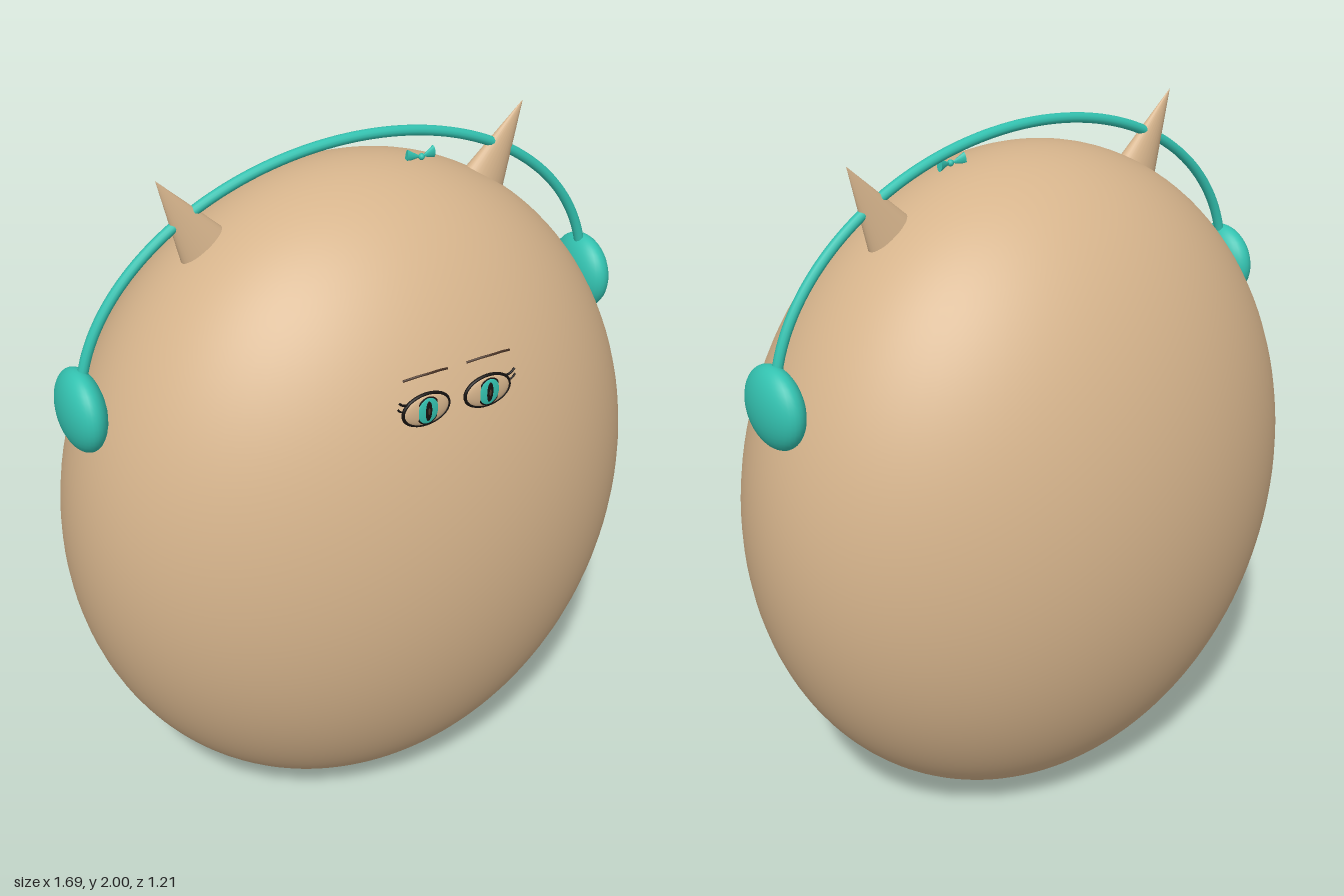
import * as THREE from 'three';

const material = (name, color) => {
  const m = new THREE.MeshStandardMaterial({ color });
  m.name = name;
  return m;
};

export function createModel() {
  const model = new THREE.Group();
  model.name = 'hornedEgg';
  const tan = material('tan', 0xd6b48c);
  const teal = material('teal', 0x33c2b0);
  const black = material('black', 0x15110f);
  const brown = material('brown', 0x4a3426);

  const add = (parent, name, geometry, mat, x = 0, y = 0, z = 0) => {
    const mesh = new THREE.Mesh(geometry, mat);
    mesh.name = name;
    mesh.position.set(x, y, z);
    parent.add(mesh);
    return mesh;
  };
  const ellipsoid = (rx, ry, rz, w = 32, h = 20) =>
    new THREE.SphereGeometry(1, w, h).scale(rx, ry, rz);
  const tube = (points, radius, closed = false) => new THREE.TubeGeometry(
    new THREE.CatmullRomCurve3(points.map(p => new THREE.Vector3(...p)), closed), 40, radius, 8, closed);

  // Body
  add(model, 'body', ellipsoid(0.846, 0.963, 0.604, 96, 64), tan, 0, 0.963, 0);

  // Headband: half ellipse from cup to cup
  const arch = [];
  for (let i = 0; i <= 24; i++) {
    const a = Math.PI * i / 24;
    arch.push(new THREE.Vector3(0.78 * Math.cos(a), 1.42 + 0.566 * Math.sin(a), 0));
  }
  add(model, 'headband', new THREE.TubeGeometry(new THREE.CatmullRomCurve3(arch), 96, 0.014, 12), teal);

  for (const s of [-1, 1]) {
    const side = s > 0 ? 'left' : 'right';

    // Ear cups
    add(model, side + 'EarCup', ellipsoid(0.057, 0.112, 0.112), teal, s * 0.782, 1.42, 0);

    // Horns: flattened cones leaning outwards, sunk into the body
    const cone = new THREE.ConeGeometry(0.077, 0.255, 32).translate(0, -0.1275, 0).scale(1, 1, 0.53);
    const horn = add(model, side + 'Horn', cone, tan, s * 0.537, 1.986, 0);
    horn.rotation.z = -s * 0.53;

    // Eyes
    const eye = new THREE.Group();
    eye.name = side + 'Eye';
    eye.position.set(s * 0.09, 1.49, 0.53);
    model.add(eye);
    add(eye, 'eyeball', ellipsoid(0.066, 0.043, 0.012), tan);
    const rim = [];
    for (let i = 0; i < 20; i++) {
      const a = Math.PI * 2 * i / 20;
      rim.push([0.066 * Math.cos(a), 0.043 * Math.sin(a), 0]);
    }
    add(eye, 'eyeOutline', tube(rim, 0.0045, true), black);
    add(eye, 'irisRim', ellipsoid(0.034, 0.039, 0.004), black, 0, 0, 0.008);
    add(eye, 'iris', ellipsoid(0.030, 0.036, 0.005), teal, 0, 0, 0.009);
    add(eye, 'pupil', ellipsoid(0.011, 0.028, 0.004), black, 0, 0, 0.0115);
    add(eye, 'pupilGlow', ellipsoid(0.004, 0.012, 0.003), brown, 0, 0, 0.0135);
    // Lashes at the outer corner
    add(eye, 'lash', tube([[s * 0.05, 0.027, 0], [s * 0.066, 0.029, 0], [s * 0.08, 0.04, 0]], 0.003), black);
    add(eye, 'lowerLash', tube([[s * 0.062, 0.01, 0], [s * 0.074, 0.014, 0], [s * 0.083, 0.024, 0]], 0.0025), black);

    // Eyebrows
    add(model, side + 'Eyebrow', tube([
      [s * 0.028, 1.583, 0.523], [s * 0.06, 1.594, 0.537], [s * 0.09, 1.597, 0.542],
      [s * 0.122, 1.594, 0.537], [s * 0.155, 1.583, 0.523]], 0.003), brown);
  }

  // Small bow resting on the crown
  const bow = new THREE.Group();
  bow.name = 'bow';
  bow.position.set(0.191, 1.912, 0.045);
  bow.rotation.z = -0.04;
  model.add(bow);
  for (const s of [-1, 1]) {
    const loop = add(bow, 'bowLoop',
      new THREE.ConeGeometry(0.017, 0.042, 16).translate(0, -0.021, 0).scale(1, 1, 0.5), teal);
    loop.rotation.set(0, s * 0.2, s * (Math.PI / 2 + 0.12));
  }
  add(bow, 'bowKnot', ellipsoid(0.009, 0.009, 0.009, 12, 8), teal);

  return model;
}
